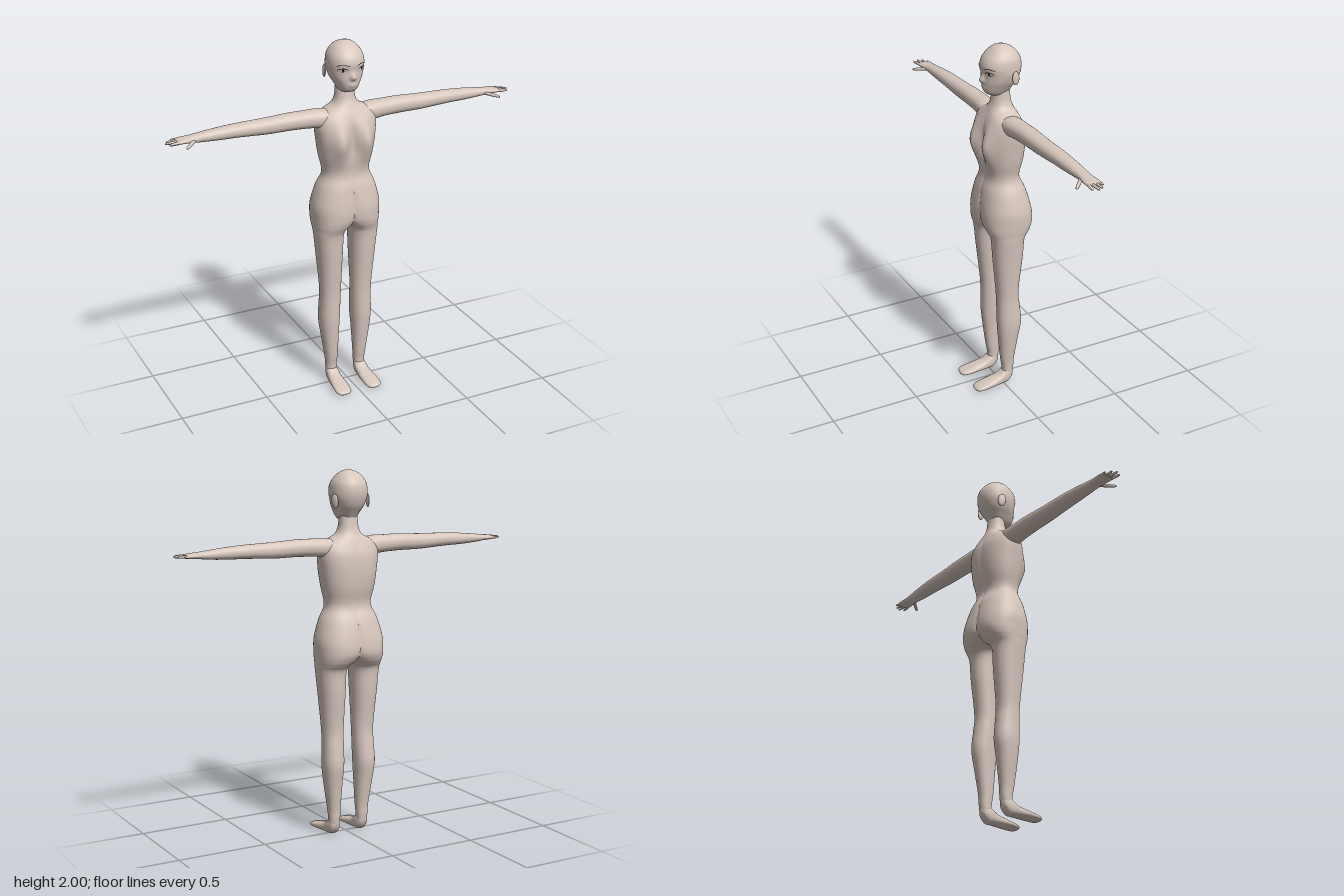
import * as THREE from 'three';
import { mergeGeometries, mergeVertices } from 'three/addons/utils/BufferGeometryUtils.js';

const skin = new THREE.MeshStandardMaterial({ color: 0xd6c6bc, name: 'skin' });
const dark = new THREE.MeshStandardMaterial({ color: 0x17140f, name: 'lashBlack' });
const white = new THREE.MeshStandardMaterial({ color: 0xe6e0da, name: 'eyeWhite' });

const bell = (v, centre, width) => Math.exp(-(((v - centre) / width) ** 2));

// Smoothly subdivides a short table of cross-sections.
function refine(keys, steps) {
  const out = [];
  for (let i = 0; i < keys.length - 1; i++) {
    const [p, a, b, q] = [keys[Math.max(i - 1, 0)], keys[i], keys[i + 1], keys[Math.min(i + 2, keys.length - 1)]];
    for (let s = 0; s < steps; s++) {
      const t = s / steps;
      out.push(a.map((_, k) => 0.5 * (2 * a[k] + (b[k] - p[k]) * t
        + (2 * p[k] - 5 * a[k] + 4 * b[k] - q[k]) * t * t + (3 * a[k] - p[k] - 3 * b[k] + q[k]) * t ** 3)));
    }
  }
  out.push(keys[keys.length - 1]);
  return out;
}

// Skins closed rings; point(ring, cos, sin) gives one surface point.
function loft(rings, point, sides = 32, power = 0.9) {
  const pos = [], index = [];
  const soft = (v) => (Math.abs(v) < 1e-9 ? 0 : Math.sign(v) * Math.abs(v) ** power);
  for (const r of rings) {
    for (let j = 0; j < sides; j++) {
      const a = (j / sides) * Math.PI * 2;
      pos.push(...point(r, soft(Math.cos(a)), soft(Math.sin(a))));
    }
  }
  const onSeam = (...v) => v.every((k) => Math.abs(pos[k * 3]) < 1e-6);
  for (let i = 0; i < rings.length - 1; i++) {
    for (let j = 0; j < sides; j++) {
      const a = i * sides + j, b = i * sides + (j + 1) % sides, c = a + sides, d = b + sides;
      if (!onSeam(a, b, c)) index.push(a, b, c);
      if (!onSeam(b, d, c)) index.push(b, d, c);
    }
  }
  const g = new THREE.BufferGeometry();
  g.setAttribute('position', new THREE.Float32BufferAttribute(pos, 3));
  g.setIndex(index);
  return g;
}

function smooth(g) {
  const m = mergeVertices(g, 1e-5);
  m.computeVertexNormals();
  return m;
}

function mirrored(g) {
  const m = g.clone().scale(-1, 1, 1);
  const ix = m.index.array;
  for (let i = 0; i < ix.length; i += 3) [ix[i], ix[i + 1]] = [ix[i + 1], ix[i]];
  m.computeVertexNormals();
  return m;
}

// Half body from ankle to neck: [y, inner x, outer x, centre x, front z, back z]
const BODY = [
  [0.05, 0.058, 0.118, 0.088, 0, -0.06], [0.1, 0.055, 0.12, 0.088, 0, -0.066],
  [0.16, 0.052, 0.125, 0.09, 0.01, -0.07], [0.3, 0.046, 0.145, 0.095, 0.025, -0.09],
  [0.4, 0.04, 0.155, 0.098, 0.033, -0.105], [0.5, 0.037, 0.152, 0.096, 0.034, -0.096],
  [0.6, 0.035, 0.153, 0.094, 0.038, -0.088], [0.8, 0.028, 0.17, 0.098, 0.058, -0.108],
  [0.92, 0.022, 0.182, 0.1, 0.068, -0.115], [0.96, 0.006, 0.185, 0.09, 0.08, -0.14],
  [0.985, -0.03, 0.188, 0.08, 0.09, -0.158], [1.03, -0.07, 0.191, 0.06, 0.1, -0.175],
  [1.1, -0.07, 0.191, 0.045, 0.1, -0.17], [1.2, -0.06, 0.165, 0.025, 0.085, -0.145],
  [1.28, -0.06, 0.132, 0.015, 0.065, -0.115], [1.38, -0.08, 0.15, 0.025, 0.08, -0.133],
  [1.47, -0.08, 0.163, 0.03, 0.09, -0.14], [1.55, -0.08, 0.172, 0.025, 0.078, -0.135],
  [1.6, -0.06, 0.163, 0.012, 0.06, -0.12], [1.632, -0.05, 0.12, 0.005, 0.045, -0.108],
  [1.655, -0.05, 0.077, 0, 0.034, -0.098], [1.69, -0.05, 0.056, 0, 0.02, -0.086],
  [1.75, -0.05, 0.05, 0, 0.01, -0.078], [1.78, -0.05, 0.05, 0, 0.01, -0.078],
];
function bodyPoint([y, xi, xo, cx, zf, zb], c, s) {
  const x = Math.max(0, cx + s * (s > 0 ? xo - cx : cx - xi));
  let z = (zf + zb) / 2 + c * (zf - zb) / 2;
  if (c > 0) z += c * bell(y, 1.46, 0.09) * (0.028 * bell(x, 0.075, 0.04) - 0.022 * bell(x, 0, 0.035));
  return [x, y, z];
}

// Head: [y, half width, front z, back z]
const HEAD = refine([
  [1.728, 0.001, -0.02, -0.022], [1.733, 0.036, 0.035, -0.07], [1.75, 0.051, 0.06, -0.08],
  [1.78, 0.068, 0.068, -0.1], [1.81, 0.084, 0.07, -0.12], [1.85, 0.096, 0.07, -0.135],
  [1.89, 0.098, 0.077, -0.14], [1.93, 0.091, 0.064, -0.132], [1.965, 0.069, 0.034, -0.107],
  [1.987, 0.041, 0.004, -0.075], [2, 0.0005, -0.03, -0.031],
], 5);
function headPoint([y, w, zf, zb], c, s) {
  const x = s * w;
  let z = (zf + zb) / 2 + c * (zf - zb) / 2;
  if (c > 0) {
    z += 0.024 * bell(x, 0, 0.013) * bell(y, 1.817, y > 1.817 ? 0.03 : 0.012); // nose
    z += 0.006 * bell(x, 0, 0.022) * bell(y, 1.777, 0.012); // lips
  }
  return [x, y, z];
}
function faceZ(x, y) {
  const i = Math.max(1, HEAD.findIndex((r) => r[0] >= y));
  const a = HEAD[i - 1], b = HEAD[i], t = (y - a[0]) / (b[0] - a[0]);
  const [, w, zf, zb] = a.map((v, k) => v + (b[k] - v) * t);
  const c = (1 - Math.min(1, Math.abs(x) / w) ** (2 / 0.9)) ** 0.45;
  return (zf + zb) / 2 + c * (zf - zb) / 2;
}

// Thin painted patch that follows the face between two height curves.
function facePatch(x0, x1, low, high, lift) {
  const g = new THREE.PlaneGeometry(1, 1, 10, 3), p = g.attributes.position;
  for (let i = 0; i < p.count; i++) {
    const u = p.getX(i) + 0.5, v = p.getY(i) + 0.5;
    const x = x0 + (x1 - x0) * u, y = low(u) + (high(u) - low(u)) * v;
    p.setXYZ(i, x, y, faceZ(x, y) + lift);
  }
  g.computeVertexNormals();
  return g;
}

// Arm and palm along x: [x, y, z, half height, half depth]
const ARM = [
  [0.08, 1.59, -0.03, 0.04, 0.06], [0.15, 1.592, -0.03, 0.05, 0.058], [0.22, 1.595, -0.032, 0.047, 0.054],
  [0.32, 1.597, -0.033, 0.045, 0.052], [0.45, 1.594, -0.034, 0.042, 0.048], [0.6, 1.596, -0.035, 0.036, 0.045],
  [0.72, 1.594, -0.035, 0.031, 0.04], [0.82, 1.592, -0.034, 0.023, 0.034], [0.87, 1.592, -0.032, 0.017, 0.036],
  [0.91, 1.592, -0.031, 0.014, 0.04], [0.935, 1.591, -0.03, 0.01, 0.038], [0.943, 1.591, -0.03, 0.001, 0.03],
];
const armPoint = ([x, y, z, h, d], c, s) => [x, y + c * h, z + s * d];

// Foot along z: [z, centre x, half width, bottom y, top y]
const FOOT = [
  [-0.063, 0.088, 0.005, 0.06, 0.075], [-0.052, 0.088, 0.025, 0.03, 0.09], [-0.025, 0.088, 0.034, 0.002, 0.095],
  [0, 0.088, 0.037, 0, 0.078], [0.03, 0.089, 0.039, 0, 0.058], [0.08, 0.091, 0.044, 0, 0.044],
  [0.14, 0.093, 0.045, 0, 0.03], [0.17, 0.093, 0.034, 0, 0.021], [0.181, 0.093, 0.003, 0.006, 0.01],
];
const footPoint = ([z, cx, w, lo, hi], c, s) =>
  [cx + c * w, Math.max(0, (lo + hi) / 2 + s * (hi - lo) / 2), z];

// Tapered digit between two points.
function digit(from, to, radius) {
  const a = new THREE.Vector3(...from), dir = new THREE.Vector3(...to).sub(a), len = dir.length();
  const prof = [[0, 0], [1, 0.02], [1, 0.5], [0.8, 0.85], [0.45, 0.97], [0, 1]];
  const g = new THREE.LatheGeometry(prof.map(([r, t]) => new THREE.Vector2(r * radius, t * len)), 10);
  g.applyQuaternion(new THREE.Quaternion().setFromUnitVectors(new THREE.Vector3(0, 1, 0), dir.normalize()));
  return g.translate(a.x, a.y, a.z);
}

export function createModel() {
  const model = new THREE.Group();
  model.name = 'figure';
  const add = (name, g, mat = skin) => {
    const m = new THREE.Mesh(g, mat);
    m.name = name;
    model.add(m);
  };
  const pair = (name, g, mat) => {
    add('left' + name, g, mat);
    add('right' + name, mirrored(g), mat);
  };

  // Torso and legs welded along the middle
  const half = loft(refine(BODY, 5), bodyPoint, 48);
  add('torsoAndLegs', smooth(mergeGeometries([half, mirrored(half)].map((g) => g.deleteAttribute('normal')))));
  add('head', smooth(loft(HEAD, headPoint, 64)));

  pair('Arm', smooth(loft(refine(ARM, 4), armPoint)));
  pair('Foot', smooth(loft(refine(FOOT, 4), footPoint, 32, 0.8)));

  // Fingers and thumb
  const tips = [[0.985, 0.008], [1, -0.02], [0.987, -0.045], [0.958, -0.067]];
  tips.forEach(([x, z], i) =>
    pair('Finger' + (i + 1), digit([0.915, 1.592, -0.002 - i * 0.019], [x, 1.59, z], 0.0085 - i * 0.0006)));
  pair('Thumb', digit([0.845, 1.588, -0.012], [0.912, 1.574, 0.054], 0.0095));

  // Ears
  const ear = new THREE.SphereGeometry(1, 20, 14).scale(0.009, 0.038, 0.024);
  ear.rotateX(0.15).rotateY(0.3).translate(0.1, 1.835, -0.068);
  pair('Ear', ear);

  // Brows and eyes
  const arch = (base, h) => (u) => base + h * Math.sin(Math.PI * u);
  pair('Brow', facePatch(0.022, 0.08, arch(1.883, 0.006), arch(1.886, 0.007), 0.003), dark);
  pair('EyeWhite', facePatch(0.033, 0.072, arch(1.862, -0.008), arch(1.862, 0.01), 0.002), white);
  pair('Iris', facePatch(0.046, 0.06, arch(1.862, -0.008), arch(1.862, 0.009), 0.0035), dark);
  pair('UpperLash', facePatch(0.028, 0.077, arch(1.862, 0.008), arch(1.865, 0.01), 0.004), dark);
  pair('LowerLash', facePatch(0.04, 0.07, arch(1.857, -0.004), arch(1.858, -0.003), 0.003), dark);
  return model;
}
